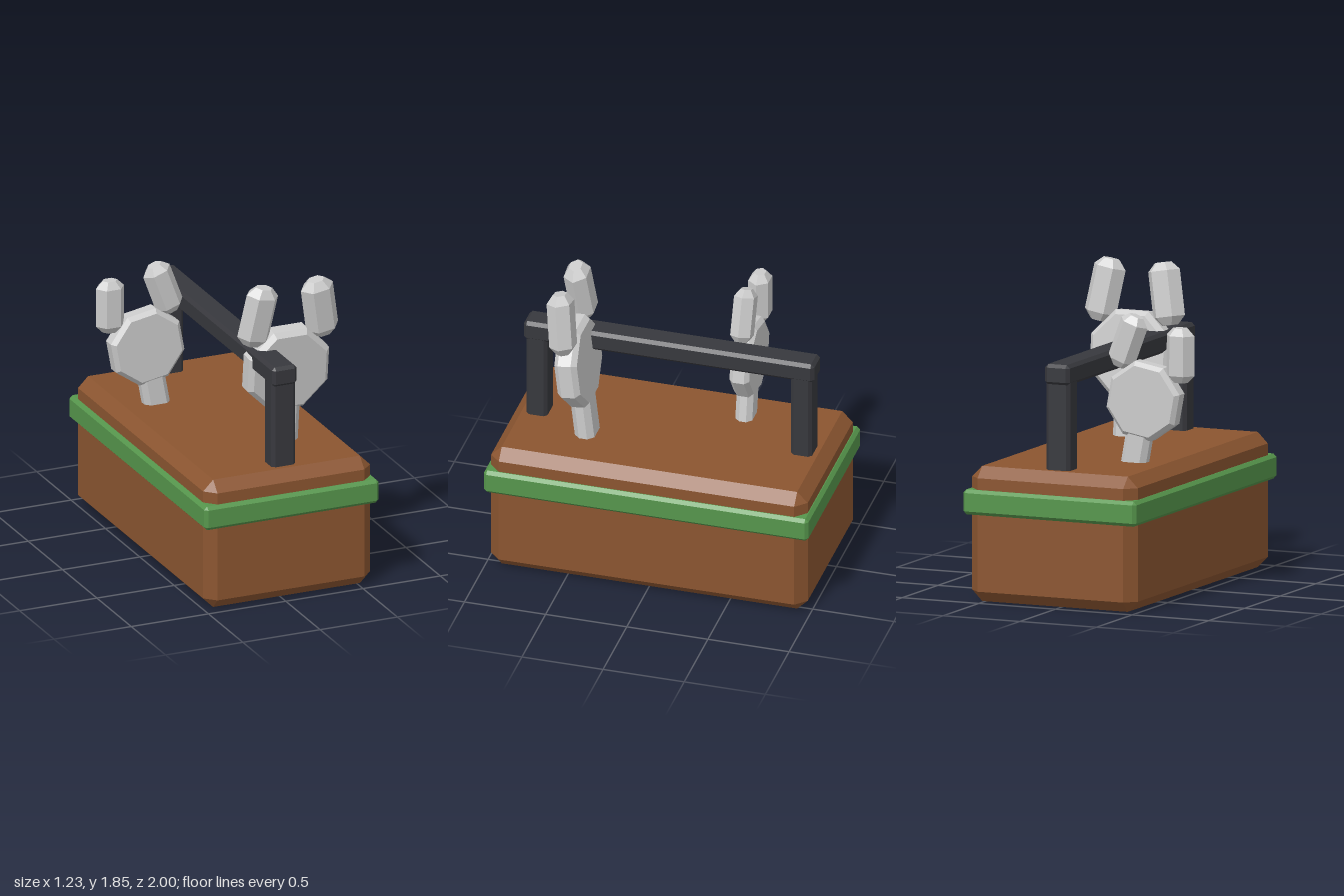
import * as THREE from 'three';
import { ConvexGeometry } from 'three/addons/geometries/ConvexGeometry.js';

const mat = (color) => new THREE.MeshStandardMaterial({ color, flatShading: true });

// Box with every edge chamfered by c and small triangular corners
function chamferBox(w, h, d, c) {
  const points = [];
  for (const sx of [-1, 1]) for (const sy of [-1, 1]) for (const sz of [-1, 1]) {
    const x = w / 2, y = h / 2, z = d / 2;
    points.push(
      new THREE.Vector3(sx * x, sy * (y - c), sz * (z - c)),
      new THREE.Vector3(sx * (x - c), sy * y, sz * (z - c)),
      new THREE.Vector3(sx * (x - c), sy * (y - c), sz * z));
  }
  return new ConvexGeometry(points);
}

// Prism with a regular outline and bevelled ends, along y
function bevelPrism(radius, length, bevel, sides, phase) {
  const h = length / 2;
  const profile = [
    [0, -h], [radius - bevel, -h], [radius, bevel - h],
    [radius, h - bevel], [radius - bevel, h], [0, h],
  ].map(([x, y]) => new THREE.Vector2(x, y));
  return new THREE.LatheGeometry(profile, sides, phase);
}

function add(parent, name, geometry, material, x, y, z) {
  const mesh = new THREE.Mesh(geometry, material);
  mesh.name = name;
  mesh.position.set(x, y, z);
  parent.add(mesh);
  return mesh;
}

// Flat octagonal head on a stem with two splayed ears
function makeFigure(name, material) {
  const figure = new THREE.Group();
  figure.name = name;
  const disc = bevelPrism(0.28, 0.14, 0.03, 8, Math.PI / 8).rotateX(Math.PI / 2);
  add(figure, 'head', disc, material, 0, 0, 0);
  add(figure, 'stem', chamferBox(0.185, 0.46, 0.12, 0.035), material, 0, -0.4, 0);
  const earGeometry = bevelPrism(0.104, 0.375, 0.05, 6, Math.PI / 2).scale(1, 1, 0.78);
  for (const side of [-1, 1]) {
    const ear = add(figure, side > 0 ? 'leftEar' : 'rightEar', earGeometry, material, side * 0.2, 0.37, 0);
    ear.rotation.z = side * 0.175;
  }
  return figure;
}

export function createModel() {
  const model = new THREE.Group();
  model.name = 'basket';
  const brown = mat(0x8b5530), green = mat(0x56964c), dark = mat(0x37383d), grey = mat(0xcccccc);
  const cx = 0.045;

  // Basket body and its band
  add(model, 'body', chamferBox(1.08, 0.81, 1.95, 0.065), brown, cx, 0.405, 0);
  add(model, 'band', chamferBox(1.13, 0.15, 2, 0.02), green, cx, 0.6, 0);

  // Handle: two posts and a bar
  for (const side of [-1, 1])
    add(model, side > 0 ? 'frontPost' : 'backPost', chamferBox(0.155, 0.64, 0.13, 0.02), dark, cx, 1.06, side * 0.815);
  add(model, 'handleBar', chamferBox(0.16, 0.125, 1.79, 0.02), dark, cx, 1.382, 0);

  // Figures standing in the basket
  const front = makeFigure('frontFigure', grey);
  front.position.set(0.208, 1.29, 0.53);
  front.rotation.x = 0.116;
  const back = makeFigure('backFigure', grey);
  back.position.set(-0.297, 1.18, -0.377);
  back.rotation.z = 0.18;
  back.scale.setScalar(0.87);
  model.add(front, back);

  return model;
}
